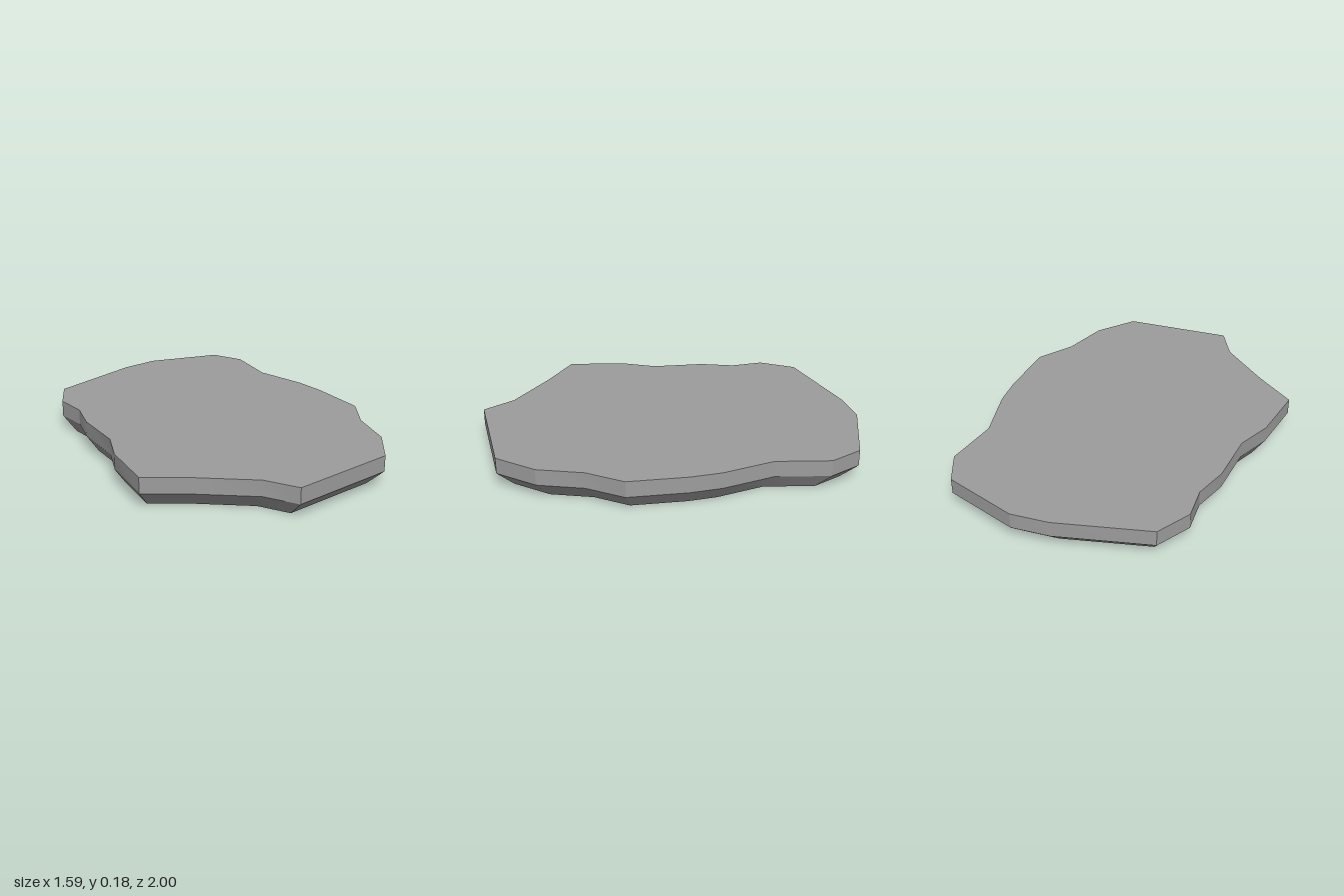
import * as THREE from 'three';
import { toCreasedNormals } from 'three/addons/utils/BufferGeometryUtils.js';

// Rim outline as [x, z], clockwise from the back
const OUTLINE = [
  [0.12, -1], [0.33, -1], [0.725, -0.84], [0.795, -0.66], [0.727, -0.37],
  [0.775, -0.08], [0.775, 0.09], [0.74, 0.41], [0.6, 0.585], [0.505, 0.82],
  [0.332, 1], [-0.267, 1], [-0.35, 0.82], [-0.59, 0.585], [-0.795, 0.41],
  [-0.725, 0.1], [-0.63, -0.08], [-0.59, -0.37], [-0.52, -0.55],
  [-0.52, -0.73], [-0.4, -0.905],
];
const HEIGHT = 0.178;
const BASE_SCALE = 0.91;
const CREASE = THREE.MathUtils.degToRad(21);

export function createModel() {
  const group = new THREE.Group();
  group.name = 'stoneSlab';

  // Slab in two layers: upright rim above, tapered underside below
  const shape = new THREE.Shape(OUTLINE.map(([x, z]) => new THREE.Vector2(x, -z)));
  const geometry = new THREE.ExtrudeGeometry(shape, { depth: HEIGHT, steps: 2, bevelEnabled: false });
  geometry.rotateX(-Math.PI / 2);

  // Draw the bottom ring inwards
  const pos = geometry.attributes.position;
  for (let i = 0; i < pos.count; i++) {
    if (pos.getY(i) < 0.01) {
      pos.setXYZ(i, pos.getX(i) * BASE_SCALE, 0, pos.getZ(i) * BASE_SCALE);
    }
  }

  // Gentle bends shade smoothly, stronger corners stay sharp
  const material = new THREE.MeshStandardMaterial({ color: 0x9d9d9d });
  const slab = new THREE.Mesh(toCreasedNormals(geometry, CREASE), material);
  slab.name = 'slab';
  group.add(slab);
  return group;
}
